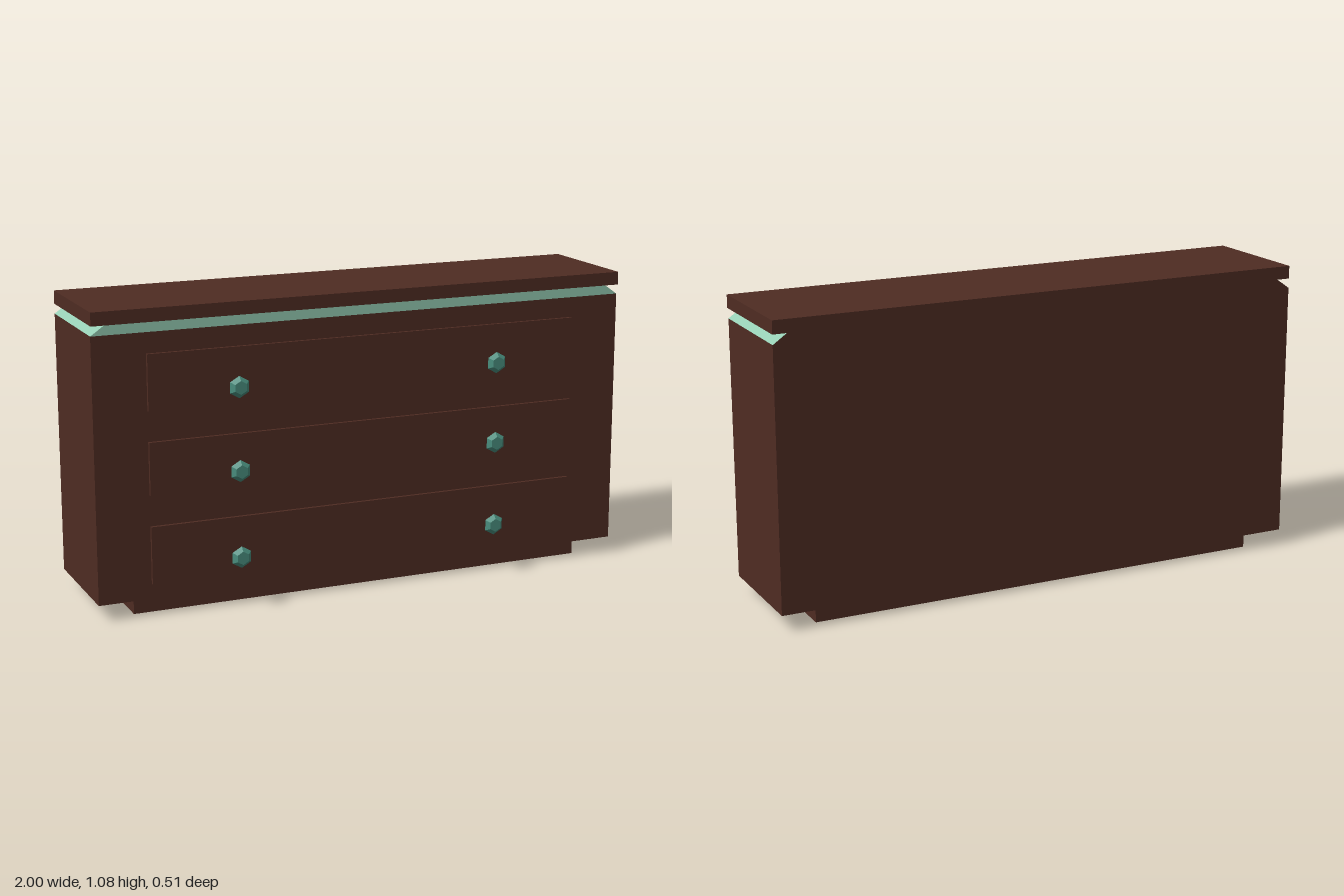
import * as THREE from 'three';

export function createModel() {
  const model = new THREE.Group();
  const material = (name, color) => {
    const m = new THREE.MeshStandardMaterial({ color, flatShading: true });
    m.name = name;
    return m;
  };
  const wood = material('dark wood', 0x4f2c23);
  const mint = material('mint trim', 0x96ceb4);
  const teal = material('teal gem', 0x4a9080);

  // Box given by its limits on each axis
  const box = (name, mat, [x0, x1], [y0, y1], [z0, z1]) => {
    const geometry = new THREE.BoxGeometry(x1 - x0, y1 - y0, z1 - z0);
    geometry.translate((x0 + x1) / 2, (y0 + y1) / 2, (z0 + z1) / 2);
    const mesh = new THREE.Mesh(geometry, mat);
    mesh.name = name;
    model.add(mesh);
    return mesh;
  };

  // Carcass
  box('plinth', wood, [-0.865, 0.865], [0, 0.06], [-0.215, 0.148]);
  box('cabinetBody', wood, [-1, 1], [0.06, 0.995], [-0.253, 0.186]);
  box('topSlab', wood, [-1, 1], [1.03, 1.077], [-0.253, 0.195]);

  // Trim under the top: sloped ends, mint at the front and ends, wood at the back
  const trim = box('trim', [mint, mint, wood, wood, mint, wood],
    [-1, 1], [0.995, 1.03], [-0.253, 0.186]);
  const p = trim.geometry.attributes.position;
  for (let i = 0; i < p.count; i++) {
    if (p.getY(i) > 1.01) p.setX(i, Math.sign(p.getX(i)) * 0.95);
  }
  trim.geometry.computeVertexNormals();

  // Six-sided lathe turned to point forwards; points are [radius, z]
  const turned = (points) => new THREE.LatheGeometry(
    points.map(([r, z]) => new THREE.Vector2(r, z)), 6).rotateX(Math.PI / 2);
  const stemGeometry = turned([[0.013, 0.196], [0.013, 0.211], [0.018, 0.213], [0.018, 0.224]]);
  const gemGeometry = turned([[0, 0.222], [0.018, 0.222], [0.039, 0.241], [0.024, 0.257], [0, 0.257]]);

  // Drawers: bottom, top and knob height
  const drawers = [[0.115, 0.32, 0.187], [0.43, 0.617, 0.496], [0.725, 0.922, 0.791]];
  for (const [y0, y1, knobY] of drawers) {
    box('drawerFront', wood, [-0.81, 0.81], [y0, y1], [0.18, 0.198]);
    for (const x of [-0.5, 0.48]) {
      const knob = new THREE.Group();
      knob.name = 'knob';
      const stem = new THREE.Mesh(stemGeometry, wood);
      stem.name = 'knobStem';
      const gem = new THREE.Mesh(gemGeometry, teal);
      gem.name = 'knobGem';
      knob.add(stem, gem);
      knob.position.set(x, knobY, 0);
      model.add(knob);
    }
  }
  return model;
}
